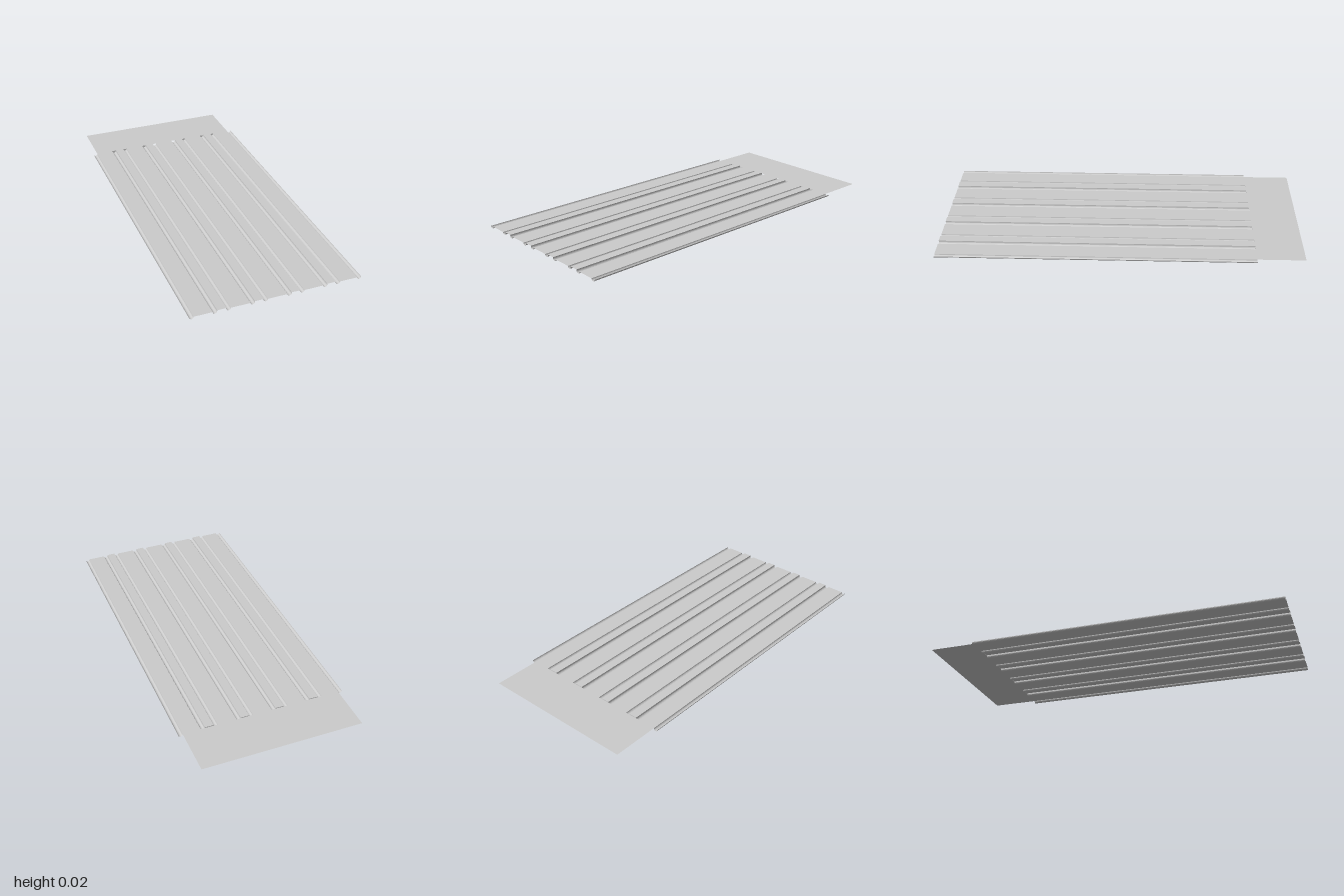
import * as THREE from 'three';

const SHEET = 0.0118, TOP = 0.0165, R = 0.0118;
const FRONT = 1, END = -0.738, BACK = -1;
const GROOVES = [0.064, 0.1335, 0.26, 0.331, 0.4515]; // centres on one side

// Lower half round, listed from inner to outer edge
function arc(cx, n = 8) {
  return Array.from({ length: n + 1 }, (_, i) => {
    const a = Math.PI * (1 + i / n);
    return [cx + R * Math.cos(a), SHEET + R * Math.sin(a)];
  });
}

// Sweep an open cross-section along z
function sweep(points, z0, z1) {
  const pos = [];
  for (let i = 0; i < points.length - 1; i++) {
    const [ax, ay] = points[i], [bx, by] = points[i + 1];
    pos.push(ax, ay, z1, bx, by, z1, bx, by, z0, ax, ay, z1, bx, by, z0, ax, ay, z0);
  }
  const g = new THREE.BufferGeometry();
  g.setAttribute('position', new THREE.Float32BufferAttribute(pos, 3));
  g.computeVertexNormals();
  return g;
}

export function createModel() {
  const model = new THREE.Group();
  model.name = 'ribbedSheet';
  const mat = new THREE.MeshStandardMaterial({ color: 0xcccccc, flatShading: true, side: THREE.DoubleSide });
  const add = (geo, name) => {
    const m = new THREE.Mesh(geo, mat);
    m.name = name;
    model.add(m);
  };
  const cap = (points, name) => {
    const g = new THREE.ShapeGeometry(new THREE.Shape(points.map(p => new THREE.Vector2(...p))));
    g.translate(0, 0, END);
    add(g, name);
  };

  for (const s of [1, -1]) {
    const flip = pts => pts.map(([x, y]) => [s * x, y]);

    // Flat bands between the pairs of grooves
    const flats = [[0, GROOVES[0] - R], [GROOVES[1] + R, GROOVES[2] - R], [GROOVES[3] + R, GROOVES[4] - R]];
    for (const [a, b] of flats) add(sweep(flip([[a, SHEET], [b, SHEET]]), END, FRONT), 'flatBand');

    // Half-round grooves; the innermost and the outermost are open at the back
    GROOVES.forEach((x, i) => {
      add(sweep(flip(arc(x)), END, FRONT), i === 4 ? 'edgeGutter' : 'groove');
      if (i > 0 && i < 4) cap(flip(arc(x)), 'grooveEnd');
    });

    // Raised strip between the two grooves of each pair
    for (const i of [0, 2]) {
      const a = GROOVES[i] + R, b = GROOVES[i + 1] - R;
      const strip = flip([[a, SHEET], [a, TOP], [b, TOP], [b, SHEET]]);
      add(sweep(strip, END, FRONT), 'raisedStrip');
      cap(strip, 'stripEnd');
    }
  }

  // Plain flap at the back
  const w = GROOVES[4] - R;
  add(sweep([[-w, SHEET], [w, SHEET]], BACK, END), 'backFlap');
  return model;
}
